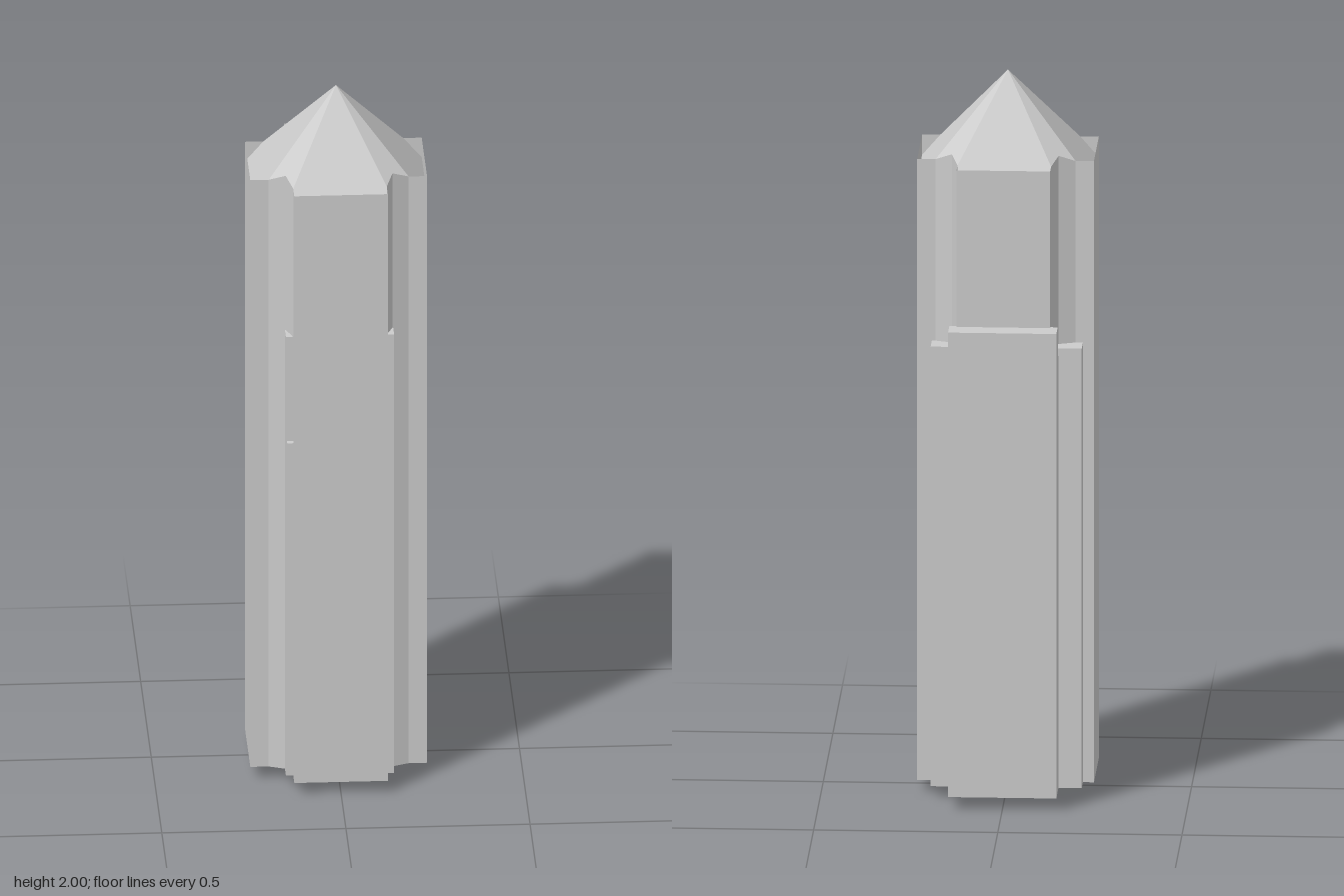
import * as THREE from 'three';

const BASE = 0.035, EAVES = 1.78, APEX = 2, CENTRE_Z = 0.03;
const grey = new THREE.MeshStandardMaterial({ color: 0xcccccc, flatShading: true, side: THREE.DoubleSide });

function mesh(name, geometry) {
  const m = new THREE.Mesh(geometry, grey);
  m.name = name;
  return m;
}

// Box given by its limits on each axis
function box(name, [x0, x1], [y0, y1], [z0, z1]) {
  const m = mesh(name, new THREE.BoxGeometry(x1 - x0, y1 - y0, z1 - z0));
  m.position.set((x0 + x1) / 2, (y0 + y1) / 2, (z0 + z1) / 2);
  return m;
}

// Cross-shaped plan with coved inner corners: one quarter turned four times
function towerPlan() {
  let quarter = [[0.24, -0.127], [0.24, 0.127], [0.19, 0.127], [0.145, 0.145], [0.127, 0.19]];
  const plan = [];
  for (let i = 0; i < 4; i++) {
    plan.push(...quarter);
    quarter = quarter.map(([x, z]) => [-z, x]);
  }
  return plan;
}

// Height of the eight-sided spire above a plan point
function roofHeight([x, z]) {
  const ax = Math.abs(x), az = Math.abs(z);
  return APEX - (APEX - EAVES) * Math.max(ax / 0.19, az / 0.19, (ax + az) / 0.317);
}

function fromTriangles(points) {
  const g = new THREE.BufferGeometry();
  g.setAttribute('position', new THREE.Float32BufferAttribute(points.flat(), 3));
  g.computeVertexNormals();
  return g;
}

export function createModel() {
  const group = new THREE.Group();
  group.name = 'tower';

  // Shaft walls, floor and spire; the walls form a low parapet at the arms
  const plan = towerPlan(), walls = [], floor = [], roof = [];
  const at = ([x, z], y) => [x, y, z + CENTRE_Z];
  const wallTop = (p) => Math.max(EAVES, roofHeight(p));
  plan.forEach((p, i) => {
    const q = plan[(i + 1) % plan.length];
    const pb = at(p, BASE), qb = at(q, BASE), pt = at(p, wallTop(p)), qt = at(q, wallTop(q));
    walls.push(pb, pt, qt, pb, qt, qb);
    floor.push(at([0, 0], BASE), pb, qb);
    roof.push(at([0, 0], APEX), at(q, roofHeight(q)), at(p, roofHeight(p)));
  });
  group.add(mesh('shaftWalls', fromTriangles(walls)));
  group.add(mesh('shaftFloor', fromTriangles(floor)));
  group.add(mesh('spireRoof', fromTriangles(roof)));

  // Rear slab with a curved shoulder, extruded across the width
  const profile = new THREE.Shape();
  profile.moveTo(0.27, BASE);
  profile.lineTo(0.27, 1.34);
  profile.lineTo(0.2, 1.34);
  profile.quadraticCurveTo(0.192, 1.265, 0.16, 1.24);
  profile.lineTo(0.12, 1.24);
  profile.lineTo(0.12, BASE);
  const slab = new THREE.ExtrudeGeometry(profile, { depth: 0.294, bevelEnabled: false, curveSegments: 5 });
  slab.translate(0, 0, -0.147).rotateY(Math.PI / 2);
  group.add(mesh('rearSlab', slab));

  // Piers in the rear corners
  group.add(box('rearPierLeft', [0.12, 0.2], [BASE, 1.27], [-0.16, -0.09]));
  group.add(box('rearPierRight', [-0.21, -0.12], [BASE, 1.27], [-0.16, -0.09]));

  // Slim piers in the front corners
  for (const s of [-1, 1]) {
    const pier = box('frontPier', [0.11, 0.147], [BASE, 1.34], [0.15, 0.22]);
    pier.position.x *= s;
    group.add(pier);
  }
  group.add(box('frontPilaster', [-0.144, -0.12], [0.05, 1.03], [0.21, 0.235]));

  // Footings under the floor
  group.add(box('frontFooting', [-0.142, 0.14], [0, BASE + 0.005], [0.005, 0.095]));
  group.add(box('rearFooting', [-0.05, 0.1], [0.012, BASE + 0.005], [-0.08, 0.005]));

  return group;
}
